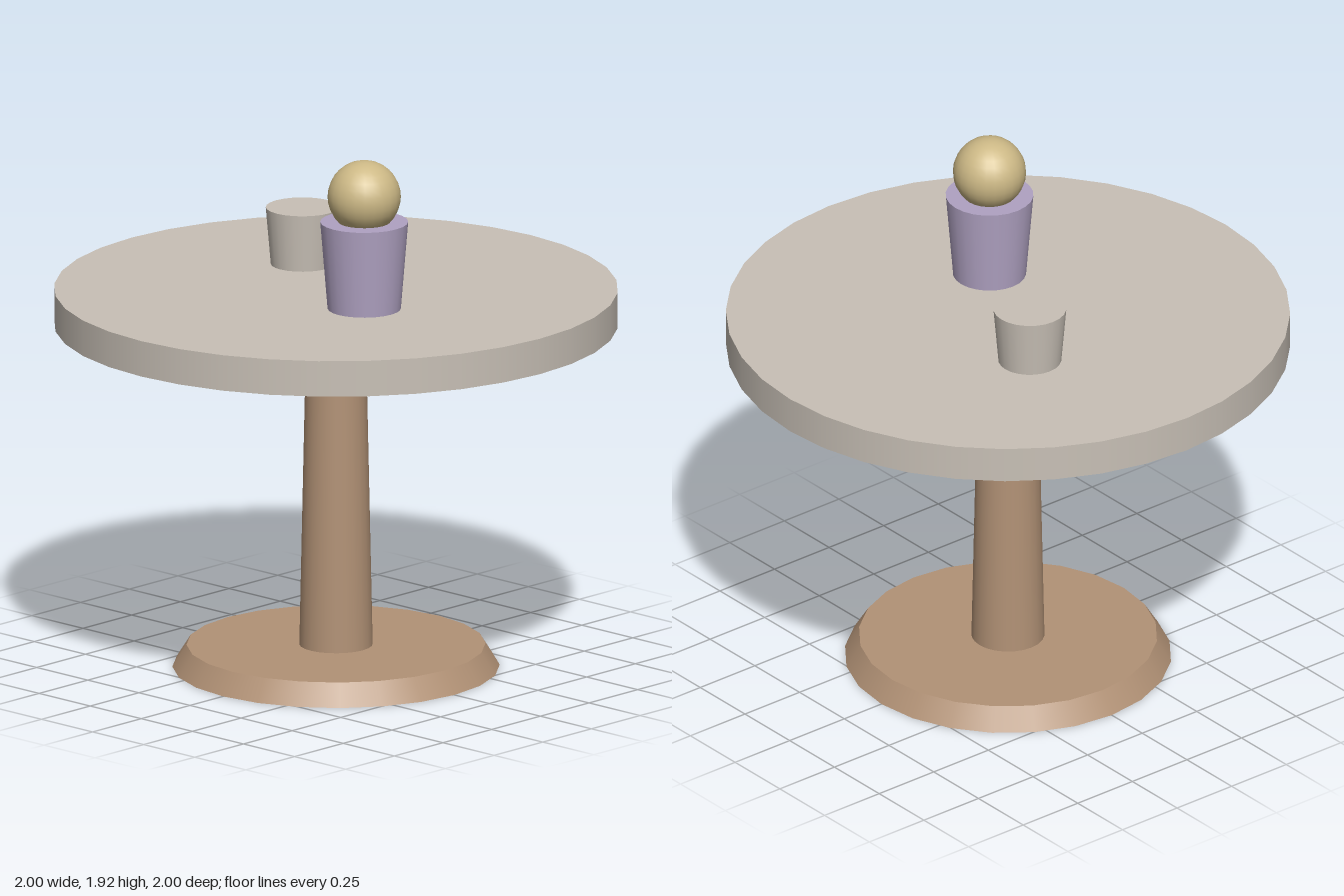
import * as THREE from 'three';

export function createModel() {
  const model = new THREE.Group();

  const paint = (name, color) => {
    const m = new THREE.MeshStandardMaterial({ color });
    m.name = name;
    return m;
  };
  const stone = paint('warm grey', 0xc8c0b6);
  const wood = paint('brown wood', 0xb29276);
  const purple = paint('soft purple', 0xb0a2c2);
  const cream = paint('pale gold', 0xcdb986);

  // Upright tapered round part from y0 to y1
  const round = (name, material, rBottom, rTop, y0, y1, x = 0, z = 0, sides = 24) => {
    const mesh = new THREE.Mesh(new THREE.CylinderGeometry(rTop, rBottom, y1 - y0, sides), material);
    mesh.name = name;
    mesh.position.set(x, (y0 + y1) / 2, z);
    model.add(mesh);
  };

  // Pedestal table
  round('base', wood, 0.58, 0.53, 0, 0.08);
  round('column', wood, 0.13, 0.105, 0.08, 1.255);
  round('tableTop', stone, 1, 1, 1.255, 1.385, 0, 0, 36);

  // Items on the table
  round('smallCup', stone, 0.112, 0.13, 1.385, 1.593, -0.317, -0.16);
  round('tallCup', purple, 0.13, 0.156, 1.385, 1.703, 0.262, 0.13);
  const scoop = new THREE.Mesh(new THREE.SphereGeometry(0.13, 24, 16), cream);
  scoop.name = 'scoop';
  scoop.position.set(0.262, 1.795, 0.13);
  model.add(scoop);

  return model;
}
